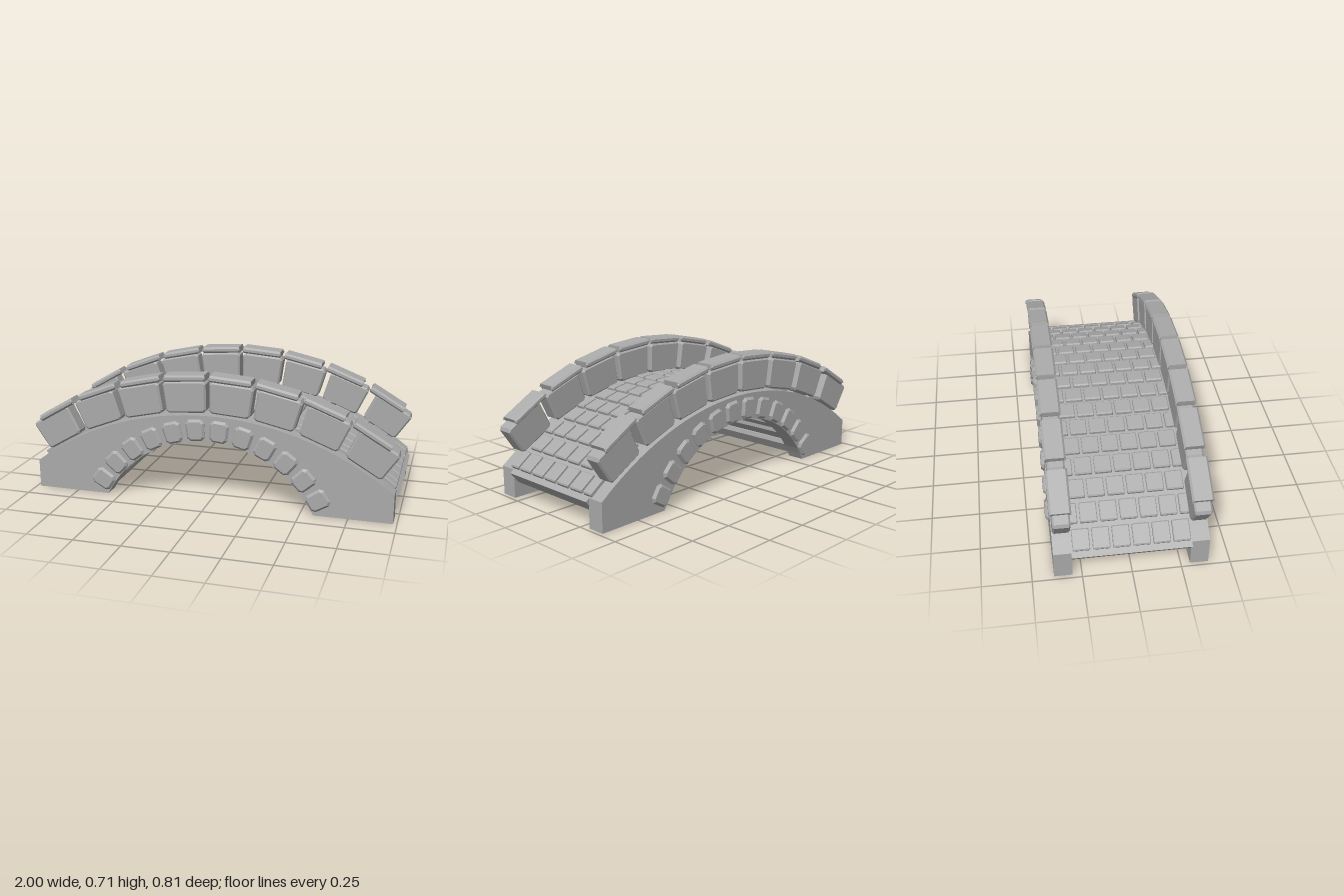
import * as THREE from 'three';

const stone = new THREE.MeshStandardMaterial({ color: 0xaaaaaa });
stone.name = 'grey stone';

// Shared circle centres and radii of the bridge
const DECK = { cy: -1.11, r: 1.6 };
const ARCH = { cy: -0.289, r: 0.639 };
const onArc = (cy, r, x) => cy + Math.sqrt(r * r - x * x);

// Block with chamfered edges; the bottom may be narrower than the top
function chamferBlock(w, h, d, c, taper = 1) {
  const a = w / 2 - c, b = h / 2 - c, lo = a * taper;
  const s = new THREE.Shape([
    [-lo + c, -b], [lo - c, -b], [lo, -b + c], [a, b - c],
    [a - c, b], [-a + c, b], [-a, b - c], [-lo, -b + c],
  ].map(([x, y]) => new THREE.Vector2(x, y)));
  const g = new THREE.ExtrudeGeometry(s, {
    depth: d - 2 * c, bevelEnabled: true, bevelSize: c, bevelThickness: c, bevelSegments: 1,
  });
  return g.translate(0, 0, -d / 2 + c);
}

function add(parent, name, geometry, x = 0, y = 0, z = 0, tilt = 0) {
  const m = new THREE.Mesh(geometry, stone);
  m.name = name;
  m.position.set(x, y, z);
  m.rotation.z = tilt;
  parent.add(m);
  return m;
}

// Side wall: sloping curved top, round arch cut from the foot
function wallGeometry() {
  const pts = [];
  const endX = 0.98, footX = 0.57, n = 32;
  pts.push(new THREE.Vector2(-endX, 0));
  for (let i = 0; i <= n; i++) {
    const a = Math.asin(footX / ARCH.r) * (2 * i / n - 1);
    pts.push(new THREE.Vector2(ARCH.r * Math.sin(a), Math.max(0, ARCH.cy + ARCH.r * Math.cos(a))));
  }
  pts.push(new THREE.Vector2(endX, 0));
  for (let i = 0; i <= n; i++) {
    const x = endX * (1 - 2 * i / n);
    pts.push(new THREE.Vector2(x, onArc(DECK.cy, DECK.r, x)));
  }
  return new THREE.ExtrudeGeometry(new THREE.Shape(pts), { depth: 0.093, bevelEnabled: false });
}

// Curved slab between the walls
function deckGeometry() {
  const s = new THREE.Shape();
  const half = Math.asin(1 / DECK.r);
  s.absarc(0, DECK.cy, DECK.r, Math.PI / 2 - half, Math.PI / 2 + half, false);
  s.absarc(0, DECK.cy, DECK.r - 0.077, Math.PI / 2 + half, Math.PI / 2 - half, true);
  const g = new THREE.ExtrudeGeometry(s, { depth: 0.6, bevelEnabled: false, curveSegments: 18 });
  return g.translate(0, 0, -0.3);
}

export function createModel() {
  const model = new THREE.Group();
  model.name = 'stoneBridge';

  // Walls and deck
  const wall = wallGeometry();
  add(model, 'frontWall', wall, 0, 0, 0.297);
  add(model, 'backWall', wall, 0, 0, -0.39);
  add(model, 'deck', deckGeometry());

  // Arch stones running through the full width
  const arch = new THREE.Group();
  arch.name = 'archStones';
  model.add(arch);
  const archStone = chamferBlock(0.104, 0.117, 0.81, 0.012, 0.94);
  for (let i = 0; i < 12; i++) {
    const a = THREE.MathUtils.degToRad((i - 5.5) * 10.5);
    add(arch, 'archStone', archStone, 0.7 * Math.sin(a), ARCH.cy + 0.7 * Math.cos(a), 0, -a);
  }

  // Paving in staggered rows across the deck
  const paving = new THREE.Group();
  paving.name = 'paving';
  model.add(paving);
  for (let i = 0; i < 18; i++) {
    const x = (i - 8.5) * 0.1095;
    const a = Math.asin(x / DECK.r);
    const length = 0.088 / Math.cos(a);
    const shift = i % 2 ? 0.05 : 0;
    for (let z = -0.35 + shift; z < 0.36; z += 0.1) {
      const z0 = Math.max(z - 0.043, -0.315), z1 = Math.min(z + 0.043, 0.315);
      if (z1 - z0 < 0.03) continue;
      add(paving, 'paver', chamferBlock(length, 0.04, z1 - z0, 0.004),
        x, onArc(DECK.cy, DECK.r, x), (z0 + z1) / 2, -a);
    }
  }

  // Parapets: tapered blocks with overhanging caps
  const block = chamferBlock(0.236, 0.168, 0.088, 0.009, 0.92);
  const cap = chamferBlock(0.25, 0.034, 0.108, 0.01);
  for (const side of [1, -1]) {
    const parapet = new THREE.Group();
    parapet.name = side > 0 ? 'frontParapet' : 'backParapet';
    model.add(parapet);
    for (let i = 0; i < 8; i++) {
      const x = (i - 3.5) * 0.245;
      const y = onArc(DECK.cy, 1.694, x);
      const tilt = -Math.asin(x / 1.694);
      add(parapet, 'parapetBlock', block, x, y, side * 0.343, tilt);
      add(parapet, 'parapetCap', cap, x, y + 0.103, side * 0.345, tilt);
    }
  }
  return model;
}
